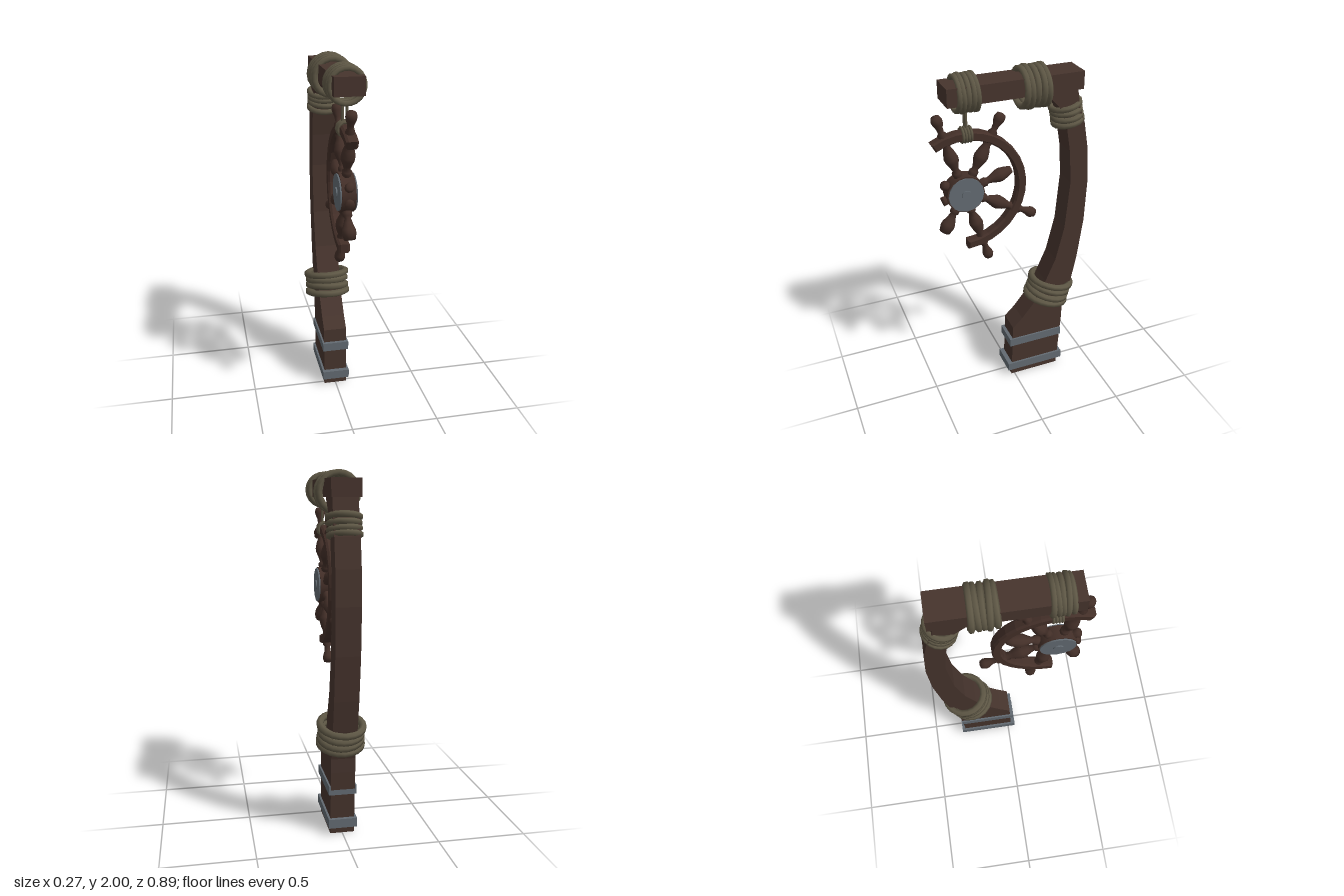
import * as THREE from 'three';

const mat = (name, color, flatShading = false) => {
  const m = new THREE.MeshStandardMaterial({ color });
  m.name = name;
  m.flatShading = flatShading;
  return m;
};

export function createModel() {
  const wood = mat('dark wood', 0x46342d, true);
  const wheelWood = mat('wheel wood', 0x432f28);
  const rope = mat('rope', 0x5e5745);
  const metal = mat('grey metal', 0x626a71);

  // Built in profile: local x runs to the back, local z to the model's left.
  const model = new THREE.Group();
  const body = new THREE.Group();
  body.name = 'wheelStand';
  body.rotation.y = Math.PI / 2;
  model.add(body);

  const add = (name, geometry, material, parent = body, x = 0, y = 0, z = 0) => {
    const mesh = new THREE.Mesh(geometry, material);
    mesh.name = name;
    mesh.position.set(x, y, z);
    parent.add(mesh);
    return mesh;
  };

  // Curved post, a side outline extruded across its width
  const back = [[0.29, 0], [0.315, 0.37], [0.316, 0.45], [0.365, 0.62], [0.4, 0.8], [0.432, 1.05],
    [0.442, 1.31], [0.43, 1.5], [0.402, 1.66], [0.368, 1.76], [0.35, 1.87]];
  const front = [[0.17, 1.87], [0.18, 1.84], [0.255, 1.76], [0.295, 1.66], [0.322, 1.5], [0.335, 1.31],
    [0.31, 1.02], [0.26, 0.81], [0.2, 0.67], [0.13, 0.53], [0.05, 0.43], [-0.01, 0.37], [-0.02, 0]];
  const outline = new THREE.Shape([...back, ...front].map(p => new THREE.Vector2(...p)));
  const postGeo = new THREE.ExtrudeGeometry(outline, { depth: 0.136, bevelEnabled: false });
  add('post', postGeo.translate(0, 0, -0.068), wood);

  // Overhead beam
  add('beam', new THREE.BoxGeometry(0.745, 0.096, 0.158), wood, body, 0.0075, 1.902, 0);

  // Metal bands round the foot
  add('upperBand', new THREE.BoxGeometry(0.34, 0.052, 0.156), metal, body, 0.138, 0.262, 0);
  add('lowerBand', new THREE.BoxGeometry(0.362, 0.052, 0.16), metal, body, 0.137, 0.068, 0);

  // A stack of rope loops lying across the local y axis
  function ropeCoil(name, x, y, tilt, count, pitch, rx, rz, thick, sides = 10) {
    const coil = new THREE.Group();
    coil.name = name;
    coil.position.set(x, y, 0);
    coil.rotation.z = tilt;
    for (let i = 0; i < count; i++) {
      const pts = [];
      const grow = 1 + 0.03 * Math.sin(i * 2.3 + 1);
      for (let k = 0; k < sides; k++) {
        const a = (k + i * 0.3) / sides * Math.PI * 2;
        pts.push(new THREE.Vector3(Math.cos(a) * rx * grow, 0, Math.sin(a) * rz * grow));
      }
      const path = new THREE.CatmullRomCurve3(pts, true);
      const loop = add('ropeLoop', new THREE.TubeGeometry(path, sides * 2, thick, 6, true), rope, coil);
      loop.position.y = (i - (count - 1) / 2) * pitch;
      loop.rotation.set(0.04 * Math.sin(i * 1.7), 0, 0.04 * Math.cos(i * 2.1));
    }
    body.add(coil);
  }
  ropeCoil('lowerPostRope', 0.248, 0.575, -0.29, 4, 0.038, 0.118, 0.116, 0.021);
  ropeCoil('upperPostRope', 0.322, 1.71, 0.2, 4, 0.031, 0.077, 0.08, 0.017);
  ropeCoil('rearBeamRope', 0.115, 1.88, Math.PI / 2, 5, 0.03, 0.1, 0.102, 0.018);
  ropeCoil('frontBeamRope', -0.252, 1.895, Math.PI / 2, 5, 0.024, 0.089, 0.091, 0.015);

  // Hanging cord and its lashing on the wheel rim
  for (const z of [-0.012, 0.012])
    add('hangingCord', new THREE.CylinderGeometry(0.008, 0.008, 0.15, 6), rope, body, -0.25, 1.745, z);
  for (let i = 0; i < 4; i++) {
    const lash = add('rimLashing', new THREE.TorusGeometry(0.039, 0.008, 5, 10), rope, body,
      -0.272 + i * 0.015, 1.67, 0);
    lash.rotation.y = Math.PI / 2;
  }

  // Broken ship's wheel
  const wheel = new THREE.Group();
  wheel.name = 'wheel';
  wheel.position.set(-0.27, 1.34, 0);
  body.add(wheel);

  // Rim with a missing section
  const a0 = -1.55, a1 = 2.08;
  const rimShape = new THREE.Shape();
  const steps = 18;
  for (let i = 0; i <= steps; i++) {
    const a = a0 + (a1 - a0) * i / steps;
    rimShape[i ? 'lineTo' : 'moveTo'](0.355 * Math.cos(a), 0.355 * Math.sin(a));
  }
  for (let i = steps; i >= 0; i--) {
    const a = a0 + (a1 - a0) * i / steps;
    rimShape.lineTo(0.303 * Math.cos(a), 0.303 * Math.sin(a));
  }
  const rimGeo = new THREE.ExtrudeGeometry(rimShape,
    { depth: 0.04, bevelThickness: 0.012, bevelSize: 0.008, bevelOffset: -0.008, bevelSegments: 1 });
  add('rim', rimGeo.translate(0, 0, -0.02), wheelWood, wheel);

  // Turned spokes; broken ones keep only part of the profile
  const profile = [[0.02, 0.08], [0.026, 0.115], [0.026, 0.13], [0.017, 0.14], [0.024, 0.165], [0.037, 0.2],
    [0.039, 0.22], [0.031, 0.255], [0.02, 0.285], [0.025, 0.3], [0.025, 0.365], [0.016, 0.375],
    [0.018, 0.4], [0.029, 0.43], [0.031, 0.447], [0.024, 0.467], [0, 0.473]];
  const lengths = [9, 17, 17, 4, 3, 8, 17, 17];
  lengths.forEach((n, i) => {
    const pts = profile.slice(0, n).map(p => new THREE.Vector2(...p));
    if (n < profile.length) pts.push(new THREE.Vector2(0, pts[n - 1].y));
    const spoke = add(n === 17 ? 'spoke' : 'brokenSpoke', new THREE.LatheGeometry(pts, 10), wheelWood, wheel);
    spoke.rotation.z = THREE.MathUtils.degToRad(17 + 45 * i - 90);
  });

  // Hub with a metal cap on each side
  const disc = (name, r, depth, material, z) => {
    const d = add(name, new THREE.CylinderGeometry(r, r, depth, 16), material, wheel, 0, 0, z);
    d.rotation.x = Math.PI / 2;
  };
  disc('hub', 0.106, 0.076, wheelWood, 0);
  for (const s of [-1, 1]) {
    disc('hubCap', 0.099, 0.01, metal, s * 0.041);
    disc('hubBoss', 0.028, 0.008, metal, s * 0.049);
  }
  return model;
}
